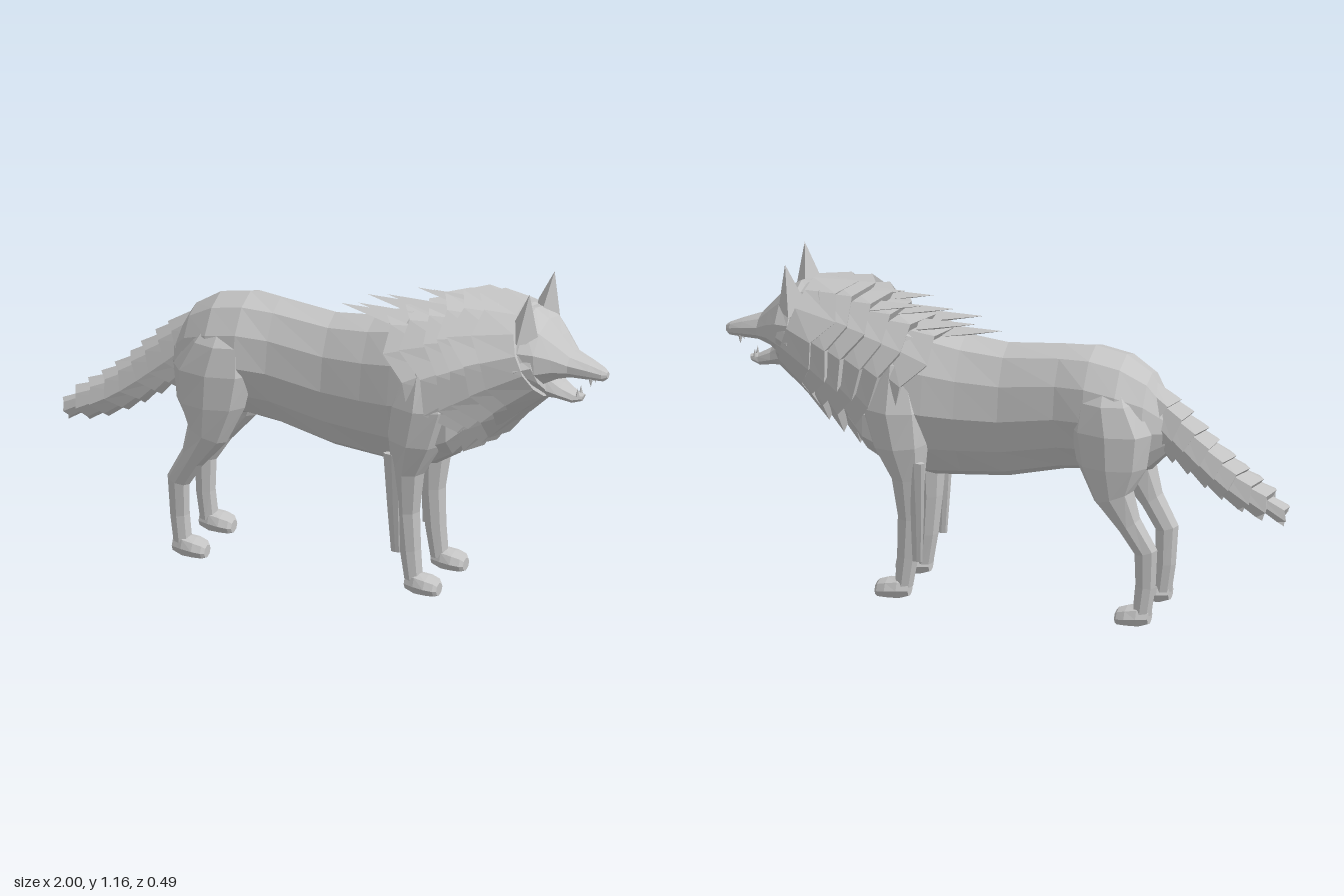
import * as THREE from 'three';

const fur = new THREE.MeshStandardMaterial({ color: 0xc5c5c5, flatShading: true });
fur.name = 'grey fur';

// small seeded random for shaggy edges
let seed = 7;
const rand = () => (seed = (seed * 16807) % 2147483647) / 2147483647;

// Cross-section facing direction t (degrees, in the x-y plane). shag lengthens every other point.
function ring([x, y, z, t, rUp, rSide], n = 10, shag = 0, vee = 0.15) {
  const a = THREE.MathUtils.degToRad(t), pts = [];
  for (let j = 0; j < n; j++) {
    const q = (j / n) * Math.PI * 2, c = Math.cos(q);
    const spike = shag * (j % 2 ? 0.3 * rand() : 0.6 + rand());
    const u = rUp * c, s = rSide * Math.sin(q) * (c < 0 ? 1 + vee * c : 1);
    const k = 1 + spike * 0.8;
    pts.push(new THREE.Vector3(
      x - Math.sin(a) * u * k - Math.cos(a) * spike,
      y + Math.cos(a) * u * k - Math.sin(a) * spike,
      z + s * k));
  }
  return pts;
}

// Skin a series of rings and close both ends
function loft(name, rings) {
  const v = [], tri = (...p) => p.forEach(q => v.push(q.x, q.y, q.z));
  const n = rings[0].length;
  const mid = r => r.reduce((m, p) => m.add(p), new THREE.Vector3()).divideScalar(n);
  const first = rings[0], last = rings[rings.length - 1];
  const a = mid(first), b = mid(last);
  for (let j = 0; j < n; j++) {
    const k = (j + 1) % n;
    for (let i = 0; i < rings.length - 1; i++) {
      const r = rings[i], s = rings[i + 1];
      tri(r[j], r[k], s[k]);
      tri(r[j], s[k], s[j]);
    }
    tri(a, first[k], first[j]);
    tri(b, last[j], last[k]);
  }
  const g = new THREE.BufferGeometry();
  g.setAttribute('position', new THREE.Float32BufferAttribute(v, 3));
  g.computeVertexNormals();
  const m = new THREE.Mesh(g, fur);
  m.name = name;
  return m;
}

// A tuft of hair: narrow at the front, flaring to a ragged rim at the back
function tuft(name, [x, y, t, rUp, rSide], depth, shrink, n, shag) {
  const a = THREE.MathUtils.degToRad(t);
  return loft(name, [
    ring([x, y, 0, t, rUp, rSide], n, shag, 0.22),
    ring([x + Math.cos(a) * depth, y + Math.sin(a) * depth, 0, t, rUp * shrink, rSide * shrink], n, 0, 0.22)]);
}

function cone(name, r, h, sides, pos, rot, scale = [1, 1, 1]) {
  const m = new THREE.Mesh(new THREE.ConeGeometry(r, h, sides), fur);
  m.name = name;
  m.position.set(...pos);
  m.rotation.set(...rot);
  m.scale.set(...scale);
  return m;
}

export function createModel() {
  const wolf = new THREE.Group();
  wolf.name = 'wolf';

  // Torso: x, belly, back, half width
  wolf.add(loft('torso', [
    [-0.575, 0.6, 0.77, 0.06], [-0.51, 0.53, 0.88, 0.125], [-0.42, 0.5, 0.937, 0.162],
    [-0.31, 0.51, 0.957, 0.162], [-0.2, 0.495, 0.95, 0.138], [0, 0.445, 0.93, 0.133],
    [0.15, 0.43, 0.945, 0.152], [0.26, 0.42, 0.97, 0.172], [0.37, 0.435, 0.99, 0.185],
    [0.46, 0.49, 0.98, 0.175], [0.54, 0.6, 0.96, 0.13],
  ].map(([x, lo, hi, w]) => ring([x, (lo + hi) / 2, 0, 0, (hi - lo) / 2, w], 12, 0, 0.28))));
  // Brisket filling the chest between the shoulders
  wolf.add(loft('brisket', [
    [0.27, 0.58, 0.13, 0.14], [0.38, 0.6, 0.155, 0.17], [0.47, 0.63, 0.13, 0.165], [0.53, 0.67, 0.1, 0.13],
  ].map(([x, y, u, w]) => ring([x, y, 0, 0, u, w], 10, 0, 0))));

  // Mane: overlapping collars from shoulders to cheeks
  const mane = new THREE.Group();
  mane.name = 'mane';
  [
    [0.36, 0.75, 30, 0.265, 0.197], [0.43, 0.775, 27, 0.268, 0.208], [0.49, 0.805, 25, 0.264, 0.225],
    [0.55, 0.84, 22, 0.258, 0.243], [0.6, 0.872, 20, 0.24, 0.252], [0.65, 0.89, 18, 0.217, 0.235],
    [0.695, 0.905, 16, 0.192, 0.208],
  ].forEach((c, i) => mane.add(tuft('maneCollar', c, i < 6 ? 0.1 : 0.06, 0.78, 14, 0.036)));
  mane.add(tuft('cheekRuff', [0.73, 0.9, 10, 0.16, 0.185], 0.05, 0.82, 12, 0.025));
  // Hackles swept back along the spine
  [[0.12, 0.955, 0], [0.2, 0.985, 0.04], [0.2, 0.985, -0.04], [0.29, 1.015, 0],
    [0.38, 1.035, 0.05], [0.38, 1.035, -0.05], [0.46, 1.06, 0]].forEach(([x, y, z]) =>
    mane.add(cone('hackle', 0.04, 0.2, 4, [x, y, z], [0, 0, Math.PI / 2 - 0.12], [0.6, 1, 1.3])));
  wolf.add(mane);

  // Head
  const head = new THREE.Group();
  head.name = 'head';
  head.add(loft('skullAndMuzzle', [
    [0.66, 0.9, 0.17, 0.16], [0.735, 0.912, 0.155, 0.172], [0.785, 0.917, 0.118, 0.152],
    [0.83, 0.905, 0.078, 0.107], [0.875, 0.885, 0.046, 0.066], [0.94, 0.872, 0.034, 0.043],
    [0.985, 0.862, 0.024, 0.026], [1, 0.862, 0.012, 0.012],
  ].map(([x, y, u, w]) => ring([x, y, 0, 0, u, w], 10))));
  head.add(loft('lowerJaw', [
    [0.76, 0.815, 0.065, 0.085], [0.83, 0.782, 0.03, 0.05], [0.88, 0.762, 0.021, 0.03], [0.91, 0.765, 0.013, 0.016],
  ].map(([x, y, u, w]) => ring([x, y, 0, -18, u, w], 8))));
  for (const s of [1, -1]) {
    head.add(cone('ear', 0.066, 0.17, 4, [0.745, 1.078, s * 0.103], [s * 0.08, 0, -0.16], [0.85, 1, 0.95]));
    head.add(cone('upperFang', 0.008, 0.03, 4, [0.945, 0.832, s * 0.02], [Math.PI, 0, 0]));
    head.add(cone('lowerFang', 0.007, 0.03, 4, [0.895, 0.788, s * 0.015], [0, 0, 0]));
  }
  wolf.add(head);

  // Legs: x, y, z, direction, half length, half width
  const fore = [
    [0.37, 0.86, 0.1, -90, 0.06, 0.06], [0.37, 0.7, 0.12, -90, 0.12, 0.09], [0.345, 0.57, 0.127, -95, 0.1, 0.082],
    [0.318, 0.45, 0.122, -92, 0.06, 0.06], [0.313, 0.3, 0.113, -90, 0.044, 0.046],
    [0.322, 0.16, 0.111, -87, 0.038, 0.04], [0.335, 0.05, 0.113, -85, 0.032, 0.036]];
  const hind = [
    [-0.37, 0.9, 0.05, -90, 0.05, 0.035], [-0.38, 0.8, 0.1, -90, 0.105, 0.068],
    [-0.4, 0.7, 0.115, -90, 0.145, 0.077], [-0.405, 0.58, 0.122, -90, 0.125, 0.072],
    [-0.415, 0.47, 0.128, -110, 0.075, 0.054], [-0.47, 0.37, 0.125, -125, 0.045, 0.042],
    [-0.525, 0.275, 0.118, -105, 0.042, 0.036], [-0.522, 0.15, 0.113, -85, 0.036, 0.034],
    [-0.51, 0.05, 0.115, -80, 0.033, 0.036]];
  const paw = [[0.312, 0.04, 0.026, 0.03], [0.35, 0.04, 0.04, 0.045], [0.39, 0.037, 0.036, 0.05],
    [0.42, 0.032, 0.031, 0.042], [0.43, 0.028, 0.022, 0.028]];
  for (const s of [1, -1]) {
    const side = s > 0 ? 'left' : 'right';
    const limb = (name, rows) => loft(name, rows.map(([x, y, z, ...r]) => ring([x, y, z * s, ...r], 8, 0, 0)));
    wolf.add(limb(side + 'ForeLeg', fore), limb(side + 'HindLeg', hind));
    for (const [name, dx] of [['ForePaw', 0], ['HindPaw', -0.85]])
      wolf.add(limb(side + name, paw.map(([x, y, u, w]) => [x + dx, y, 0.117, 0, u, w])));
    // Hair fringe behind the foreleg
    wolf.add(limb(side + 'ForeLegFringe', [[0.28, 0.52, 0.165, -90, 0.035, 0.014],
      [0.278, 0.32, 0.15, -90, 0.025, 0.01], [0.28, 0.15, 0.138, -90, 0.018, 0.006]]));
  }

  // Tail: shaggy tufts along a curve, root to tip
  const tail = new THREE.Group();
  tail.name = 'tail';
  const path = new THREE.CatmullRomCurve3([[-0.48, 0.78], [-0.62, 0.655], [-0.8, 0.515], [-0.97, 0.425]]
    .map(([x, y]) => new THREE.Vector3(x, y, 0)));
  for (let i = 1; i <= 9; i++) {
    const p = path.getPointAt(i / 9), d = path.getTangentAt(i / 9);
    const t = THREE.MathUtils.radToDeg(Math.atan2(-d.y, -d.x));
    const r = [0.1, 0.103, 0.097, 0.09, 0.085, 0.08, 0.074, 0.064, 0.038][i - 1];
    tail.add(tuft('tailTuft', [p.x, p.y, t, r, Math.min(r, 0.074)], 0.1, 0.78, 8, 0.02));
  }
  wolf.add(tail);
  return wolf;
}
